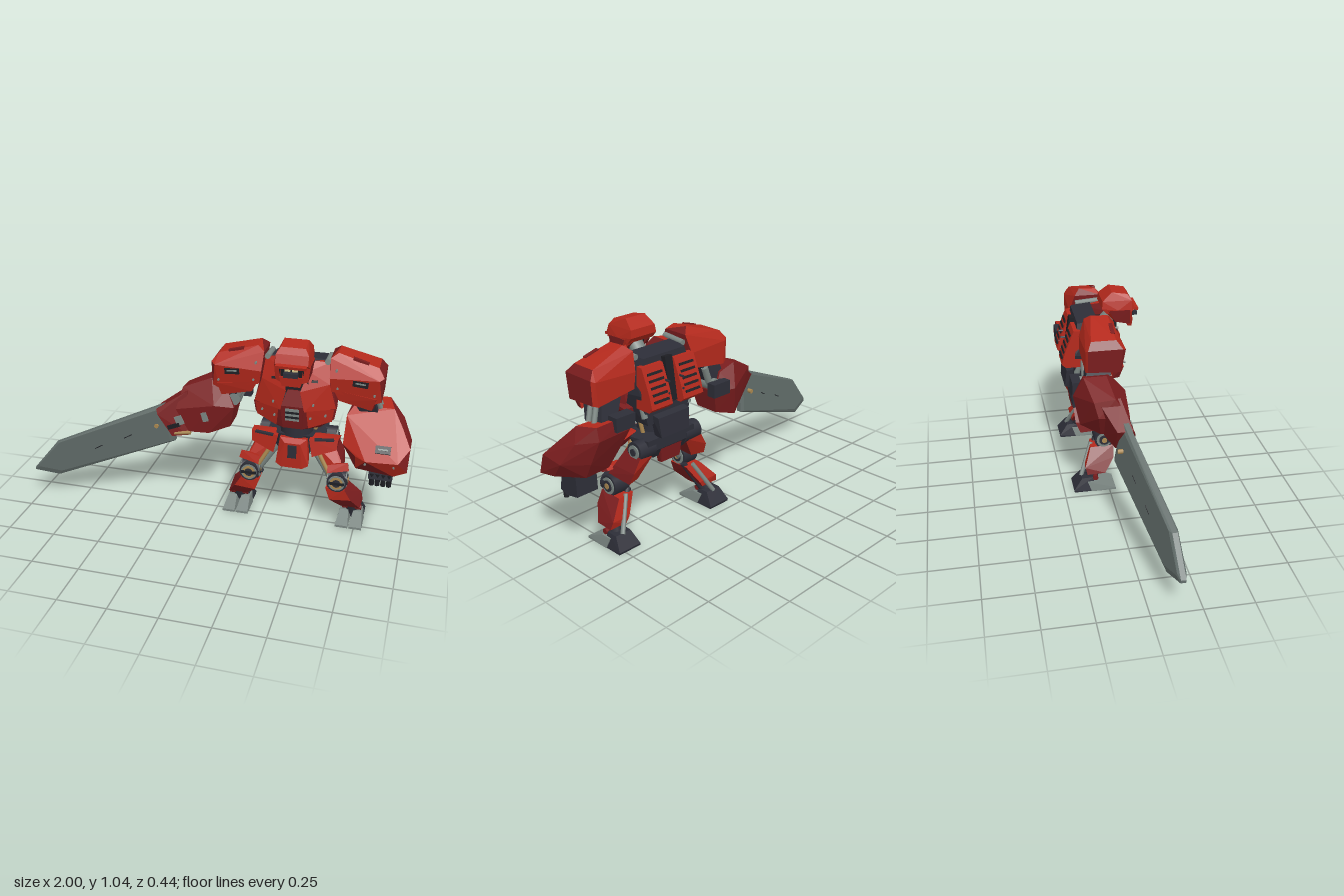
import * as THREE from 'three';
import { ConvexGeometry } from 'three/addons/geometries/ConvexGeometry.js';

const mat = (name, color) => Object.assign(new THREE.MeshStandardMaterial({ color }), { name });

export function createModel() {
  const red = mat('red armour', 0xb4291c), darkRed = mat('dark red armour', 0x7a1d1e);
  const dark = mat('dark frame', 0x2d2e38), black = mat('black detail', 0x1e1f24);
  const grey = mat('grey metal', 0x7b8682), steel = mat('blade steel', 0x626d6a);
  const gold = mat('gold metal', 0xa98750), glow = mat('eye yellow', 0xd8c48a);

  const root = new THREE.Group();
  root.name = 'giantRobot';
  const robot = new THREE.Group();
  robot.name = 'body';
  robot.position.x = 0.415;
  const swordArm = new THREE.Group();
  swordArm.name = 'rightSwordArm';
  const leftArm = new THREE.Group();
  leftArm.name = 'leftArm';
  root.add(robot, swordArm, leftArm);

  // faceted plate: the hull of a few corner points
  const hull = (parent, name, m, pts) => {
    const mesh = new THREE.Mesh(new ConvexGeometry(pts.map(p => new THREE.Vector3(...p))), m);
    mesh.name = name;
    parent.add(mesh);
    return mesh;
  };
  // two-tone plate: faces turned sideways, down or past the rear limit are dark red
  const armour = (parent, name, pts, rear = -2) => {
    const g = hull(parent, name, [red, darkRed], pts).geometry, n = g.attributes.normal;
    for (let i = 0; i < n.count; i += 3)
      g.addGroup(i, 3, Math.abs(n.getX(i)) > 0.6 || n.getY(i) < -0.5 || n.getZ(i) < rear ? 1 : 0);
  };
  const flip = (pts, s) => pts.map(([x, y, z]) => [x * s, y, z]);
  const sym = pts => [...pts, ...flip(pts, -1)];
  const box = (parent, name, m, size, pos, rot = [0, 0, 0]) => {
    const mesh = new THREE.Mesh(new THREE.BoxGeometry(...size), m);
    mesh.name = name;
    mesh.position.set(...pos);
    mesh.rotation.set(...rot);
    parent.add(mesh);
  };
  // cylinder between two points
  const rod = (parent, name, m, a, b, r, sides = 10) => {
    const A = new THREE.Vector3(...a), B = new THREE.Vector3(...b), d = B.clone().sub(A);
    const mesh = new THREE.Mesh(new THREE.CylinderGeometry(r, r, d.length(), sides), m);
    mesh.name = name;
    mesh.position.copy(A).add(B).multiplyScalar(0.5);
    mesh.quaternion.setFromUnitVectors(new THREE.Vector3(0, 1, 0), d.normalize());
    parent.add(mesh);
  };

  // head
  hull(robot, 'helmet', red, sym([[0.06, 1.045, 0.07], [0.06, 1.03, 0.155], [0.075, 1.0, 0.017], [0.08, 1.0, 0.175],
    [0.08, 0.955, 0.193], [0.08, 0.96, 0.013], [0.09, 0.95, 0.1], [0.08, 0.93, 0.04], [0.088, 0.94, 0.175]]));
  box(robot, 'visorBrim', red, [0.15, 0.014, 0.05], [0, 0.952, 0.187], [0.25, 0, 0]);
  hull(robot, 'face', black, sym([[0.06, 0.945, 0.19], [0.06, 0.86, 0.17], [0.06, 0.94, 0.06], [0.05, 0.88, 0.08]]));
  box(robot, 'muzzle', dark, [0.07, 0.022, 0.03], [0, 0.908, 0.199]);
  for (const s of [1, -1]) {
    box(robot, 'eye', glow, [0.028, 0.01, 0.008], [0.018 * s, 0.928, 0.193]);
    armour(robot, 'cheekGuard', flip([[0.055, 0.945, 0.187], [0.09, 0.95, 0.165], [0.09, 0.95, 0.05], [0.05, 0.94, 0.025],
      [0.05, 0.86, 0.18], [0.08, 0.865, 0.165], [0.085, 0.885, 0.085], [0.05, 0.885, 0.08]], s));
  }
  hull(robot, 'chinGuard', red, sym([[0.06, 0.89, 0.185], [0.045, 0.84, 0.182], [0.06, 0.89, 0.168], [0.045, 0.84, 0.16]]));
  rod(robot, 'neck', grey, [0, 0.93, 0.1], [0, 0.84, 0.02], 0.04);
  box(robot, 'collarWell', black, [0.14, 0.1, 0.1], [0, 0.82, 0.045]);

  // torso
  hull(robot, 'backFrame', dark, sym([[0.15, 0.92, -0.02], [0.13, 0.91, -0.13], [0.17, 0.74, -0.15], [0.13, 0.58, -0.15],
    [0.12, 0.57, 0.02], [0.17, 0.72, 0.03]]));
  box(robot, 'spineRidge', black, [0.045, 0.22, 0.04], [0, 0.79, -0.155], [0.15, 0, 0]);
  hull(robot, 'lowerBackPack', dark, sym([[0.1, 0.63, -0.13], [0.1, 0.62, -0.19], [0.09, 0.52, -0.2], [0.07, 0.5, -0.13]]));
  hull(robot, 'bellyArmour', darkRed, sym([[0.2, 0.63, 0.045], [0.13, 0.572, 0.03], [0.05, 0.575, 0.09], [0.06, 0.69, 0.118],
    [0.21, 0.69, 0.05], [0.2, 0.66, -0.07], [0.12, 0.58, -0.06]]));
  hull(robot, 'breastWedge', darkRed, sym([[0.03, 0.79, 0.105], [0.055, 0.71, 0.127], [0.05, 0.59, 0.1], [0.05, 0.6, 0.05], [0.03, 0.78, 0.05]]));
  for (let i = 0; i < 5; i++)
    box(robot, 'chestGrille', i % 2 ? black : grey, [0.07, 0.014, 0.012], [0, 0.69 - i * 0.014, 0.123 - i * 0.0035]);
  for (const s of [1, -1]) {
    armour(robot, 'chestPlate', flip([[0.065, 0.885, 0.075], [0.09, 0.93, 0.04], [0.16, 0.92, 0.02], [0.17, 0.82, 0.06],
      [0.208, 0.685, 0.05], [0.06, 0.685, 0.122], [0.035, 0.79, 0.12], [0.14, 0.9, -0.07], [0.2, 0.69, -0.08]], s));
    armour(robot, 'ribPlate', flip([[0.07, 0.69, 0.122], [0.2, 0.69, 0.06], [0.19, 0.62, 0.055], [0.08, 0.59, 0.1],
      [0.1, 0.64, 0.04], [0.19, 0.64, 0]], s));
    for (const [x, y, z] of [[0.1, 0.72, 0.1], [0.09, 0.65, 0.105], [0.16, 0.66, 0.075]])
      rod(robot, 'chestBolt', grey, [x * s, y, z - 0.02], [x * s, y, z + 0.012], 0.006, 6);
    box(robot, 'chestVent', black, [0.03, 0.012, 0.008], [0.1 * s, 0.84, 0.088], [-0.3, 0.2 * s, 0]);
    rod(robot, 'backPiston', grey, [0.155 * s, 0.89, -0.07], [0.14 * s, 0.62, -0.14], 0.016);
    rod(robot, 'collarPipe', grey, [0.15 * s, 0.925, 0.03], [0.15 * s, 0.915, -0.1], 0.015);
    rod(robot, 'waistPiston', gold, [0.11 * s, 0.6, -0.06], [0.09 * s, 0.49, -0.07], 0.01);

    // back vents with slots and bolts
    hull(robot, 'backVent', red, flip([0.035, 0.165].flatMap(x => [[x, 0.88, -0.12], [x, 0.88, -0.155], [x, 0.76, -0.203],
      [x, 0.69, -0.222], [x, 0.67, -0.2], [x, 0.67, -0.11]]), s));
    for (let i = 0; i < 5; i++)
      box(robot, 'ventSlot', black, [0.09, 0.012, 0.009], [0.1 * s, 0.845 - i * 0.031, -0.171 - i * 0.0115], [0.36, 0, 0]);
    for (const y of [0.8, 0.74]) rod(robot, 'ventBolt', dark, [0.045 * s, y, -0.18], [0.045 * s, y, -0.212], 0.006, 6);

    // shoulders
    armour(robot, 'shoulderArmour', flip([[0.2, 0.975, 0.02], [0.2, 0.98, -0.07], [0.165, 0.95, 0.04], [0.165, 0.95, -0.1],
      [0.4, 0.92, 0.03], [0.4, 0.92, -0.1], [0.43, 0.88, 0.06], [0.43, 0.88, -0.12], [0.17, 0.86, 0.08], [0.18, 0.86, -0.13],
      [0.41, 0.87, 0.078], [0.41, 0.87, -0.13], [0.18, 0.79, 0.07], [0.19, 0.78, -0.13], [0.39, 0.74, 0.06], [0.4, 0.75, -0.13],
      [0.425, 0.75, 0.05], [0.425, 0.76, -0.12]], s));
    armour(robot, 'shoulderLowerGuard', flip([[0.19, 0.8, 0.07], [0.4, 0.77, 0.07], [0.38, 0.7, 0.05], [0.22, 0.74, 0.06],
      [0.19, 0.8, 0.02], [0.4, 0.77, 0.02], [0.39, 0.7, 0.01], [0.22, 0.74, 0.02]], s));
    box(robot, 'shoulderVent', black, [0.075, 0.03, 0.008], [0.32 * s, 0.845, 0.077], [0, 0, -0.08 * s]);
    box(robot, 'shoulderVentSlat', grey, [0.05, 0.008, 0.008], [0.32 * s, 0.848, 0.079], [0, 0, -0.08 * s]);
    box(robot, 'shoulderTopSlot', darkRed, [0.08, 0.012, 0.02], [0.31 * s, 0.944, 0.022], [0, 0, -0.28 * s]);
    for (const [x, y] of [[0.2, 0.9], [0.39, 0.79], [0.21, 0.81]])
      rod(robot, 'shoulderBolt', grey, [x * s, y, 0.05], [x * s, y, 0.079], 0.006, 6);
  }

  // waist and hips
  rod(robot, 'waist', dark, [0, 0.6, -0.04], [0, 0.49, -0.04], 0.085, 12);
  hull(robot, 'hipFrame', dark, sym([[0.15, 0.51, -0.17], [0.15, 0.495, -0.02], [0.15, 0.45, -0.17], [0.1, 0.4, -0.14], [0.07, 0.39, 0],
    [0.08, 0.51, 0.03]]));
  hull(robot, 'frontSkirt', red, sym([[0.07, 0.5, 0.05], [0.085, 0.36, 0.07], [0.055, 0.342, 0.075], [0.04, 0.48, 0.075], [0.07, 0.5, 0.0],
    [0.08, 0.37, 0.02]]));
  box(robot, 'skirtSlot', dark, [0.045, 0.07, 0.009], [0, 0.435, 0.077]);
  hull(robot, 'rearSkirt', darkRed, sym([[0.07, 0.47, -0.17], [0.06, 0.37, -0.16], [0.07, 0.47, -0.13], [0.05, 0.36, -0.12]]));

  // legs
  for (const s of [1, -1]) {
    const leg = new THREE.Group();
    leg.name = s > 0 ? 'leftLeg' : 'rightLeg';
    robot.add(leg);
    const H = (n, m, p) => hull(leg, n, m, flip(p, s));
    const A = (n, p) => armour(leg, n, flip(p, s));
    const R = (n, m, a, b, r, k) => rod(leg, n, m, [a[0] * s, a[1], a[2]], [b[0] * s, b[1], b[2]], r, k);
    A('sideSkirt', [[0.08, 0.505, 0.05], [0.225, 0.505, 0.02], [0.22, 0.45, 0.03], [0.1, 0.41, 0.06], [0.085, 0.49, 0.02],
      [0.23, 0.495, -0.06], [0.09, 0.51, -0.03], [0.2, 0.45, -0.02]]);
    box(leg, 'skirtTrim', dark, [0.1, 0.009, 0.02], [0.155 * s, 0.502, 0.032], [0, 0.2 * s, 0]);
    R('hipJoint', dark, [0.1, 0.46, -0.125], [0.2, 0.46, -0.125], 0.05, 14);
    R('hipCap', grey, [0.18, 0.46, -0.125], [0.206, 0.46, -0.125], 0.035, 14);
    R('hipHub', dark, [0.18, 0.46, -0.125], [0.212, 0.46, -0.125], 0.018, 12);
    A('thighArmour', [[0.1, 0.44, -0.03], [0.19, 0.46, -0.06], [0.1, 0.44, -0.16], [0.19, 0.46, -0.17], [0.24, 0.37, -0.02],
      [0.24, 0.37, -0.165], [0.17, 0.32, 0.0], [0.255, 0.32, 0.01], [0.18, 0.31, -0.12], [0.25, 0.31, -0.14]]);
    R('thighPiston', gold, [0.1, 0.46, 0.0], [0.185, 0.31, 0.02], 0.011);
    R('thighStrut', grey, [0.085, 0.44, -0.03], [0.195, 0.27, -0.02], 0.022);
    A('kneeFlap', [[0.18, 0.36, 0.03], [0.28, 0.375, 0.01], [0.29, 0.335, 0.02], [0.18, 0.32, 0.045], [0.2, 0.35, -0.02], [0.28, 0.35, -0.02]]);
    R('kneeJoint', dark, [0.185, 0.267, -0.012], [0.275, 0.267, -0.012], 0.054, 16);
    R('kneeRing', grey, [0.18, 0.267, -0.012], [0.28, 0.267, -0.012], 0.043, 16);
    R('kneeDisc', dark, [0.178, 0.267, -0.012], [0.284, 0.267, -0.012], 0.029, 16);
    R('kneeHub', gold, [0.176, 0.267, -0.012], [0.288, 0.267, -0.012], 0.015, 12);
    R('kneeFrontRim', dark, [0.232, 0.267, 0.0], [0.232, 0.267, 0.042], 0.052, 16);
    R('kneeFrontRing', grey, [0.232, 0.267, 0.0], [0.232, 0.267, 0.045], 0.043, 16);
    R('kneeFrontGold', gold, [0.232, 0.267, 0.0], [0.232, 0.267, 0.048], 0.034, 16);
    R('kneeFrontHub', dark, [0.232, 0.267, 0.0], [0.232, 0.267, 0.051], 0.022, 12);
    box(leg, 'kneeBar', black, [0.08, 0.014, 0.008], [0.232 * s, 0.267, 0.05]);

    // shin and foot
    A('shinArmour', [[0.175, 0.225, 0.03], [0.275, 0.23, 0.04], [0.18, 0.225, -0.08], [0.275, 0.225, -0.09], [0.2, 0.16, 0.035],
      [0.31, 0.17, 0.035], [0.24, 0.13, -0.12], [0.35, 0.14, -0.13], [0.255, 0.1, -0.02], [0.355, 0.1, -0.02], [0.26, 0.1, -0.12], [0.36, 0.1, -0.12]]);
    R('shinPiston', grey, [0.225, 0.23, -0.08], [0.31, 0.07, -0.15], 0.012);
    R('calfStrut', dark, [0.185, 0.24, -0.05], [0.28, 0.07, -0.1], 0.016);
    R('ankle', dark, [0.305, 0.13, -0.07], [0.31, 0.04, -0.1], 0.035);
    R('ankleBolt', darkRed, [0.26, 0.075, -0.075], [0.36, 0.075, -0.075], 0.015);
    for (const [a, b] of [[0.238, 0.304], [0.31, 0.376]])
      H('toe', grey, [[a, 0, 0.035], [b, 0, 0.035], [a, 0.012, 0.035], [b, 0.012, 0.035], [a + 0.01, 0.056, -0.06], [b - 0.01, 0.056, -0.06],
        [a + 0.01, 0.056, -0.12], [b - 0.01, 0.056, -0.12], [a, 0, -0.1], [b, 0, -0.1]]);
    H('heel', dark, [0.242, 0.372].flatMap(x => [[x, 0, -0.09], [x, 0, -0.195], [x, 0.012, -0.198],
      [x + (0.307 - x) * 0.3, 0.075, -0.15], [x + (0.307 - x) * 0.3, 0.078, -0.085]]));
  }

  // left arm
  hull(leftArm, 'upperArm', dark, [[0.66, 0.8, 0.03], [0.66, 0.8, -0.11], [0.78, 0.8, 0.03], [0.78, 0.8, -0.11],
    [0.73, 0.66, -0.02], [0.73, 0.66, -0.15], [0.82, 0.66, -0.03], [0.82, 0.66, -0.15]]);
  for (const z of [-0.05, -0.09]) rod(leftArm, 'armPiston', grey, [0.79, 0.78, z], [0.83, 0.67, z - 0.02], 0.013);
  rod(leftArm, 'armStrut', gold, [0.66, 0.77, -0.06], [0.72, 0.66, -0.1], 0.013);
  box(leftArm, 'elbowGuard', dark, [0.11, 0.07, 0.06], [0.72, 0.67, -0.172]);
  armour(leftArm, 'forearmArmour', [[0.7, 0.67, -0.07], [0.9, 0.67, -0.07], [0.7, 0.685, -0.17], [0.87, 0.685, -0.18], [0.67, 0.63, -0.02],
    [0.68, 0.62, -0.18], [0.95, 0.6, -0.01], [0.95, 0.61, -0.12], [0.87, 0.62, -0.195], [1, 0.52, 0.06], [1, 0.51, -0.07], [0.89, 0.5, -0.15],
    [0.995, 0.41, 0.1], [0.985, 0.425, 0], [0.93, 0.372, 0.085], [0.74, 0.385, 0.07], [0.735, 0.465, 0.095], [0.79, 0.455, 0.125],
    [0.95, 0.465, 0.13], [0.89, 0.42, -0.11], [0.75, 0.42, -0.1], [0.667, 0.5, 0.05], [0.667, 0.51, -0.1]], -0.6);
  box(leftArm, 'forearmVent', black, [0.075, 0.04, 0.009], [0.87, 0.515, 0.091], [-0.72, 0, 0]);
  box(leftArm, 'forearmVentSlat', grey, [0.05, 0.008, 0.009], [0.87, 0.517, 0.094], [-0.72, 0, 0]);
  for (const x of [0.79, 0.93]) rod(leftArm, 'forearmBolt', grey, [x, 0.44, 0.1], [x, 0.44, 0.125], 0.006, 6);
  hull(leftArm, 'fist', dark, [0.805, 0.925].flatMap(x => [[x, 0.42, 0.03], [x, 0.42, -0.075], [x, 0.32, 0.045], [x, 0.32, -0.08], [x, 0.305, 0.0]]));
  for (let i = 0; i < 4; i++) rod(leftArm, 'finger', black, [0.823 + i * 0.029, 0.35, 0.033], [0.823 + i * 0.029, 0.28, 0.025], 0.013, 8);

  // right arm
  hull(swordArm, 'upperArm', dark, [[0.17, 0.8, 0.03], [0.17, 0.8, -0.11], [0.05, 0.8, 0.03], [0.05, 0.8, -0.11],
    [0.09, 0.62, -0.01], [0.09, 0.62, -0.14], [0.0, 0.66, -0.02], [0.0, 0.66, -0.14]]);
  rod(swordArm, 'armPiston', grey, [0.14, 0.76, 0.0], [0.09, 0.63, -0.01], 0.016);
  rod(swordArm, 'armPiston', grey, [0.14, 0.76, -0.12], [0.08, 0.6, -0.12], 0.018);
  rod(swordArm, 'elbow', grey, [0.09, 0.66, -0.15], [0.09, 0.66, 0.01], 0.032, 12);
  box(swordArm, 'elbowGuard', dark, [0.11, 0.07, 0.05], [0.09, 0.65, -0.172]);
  hull(swordArm, 'forearmArmour', darkRed, [[0.05, 0.715, 0], [0.05, 0.715, -0.14], [0.095, 0.62, 0.03], [0.095, 0.62, -0.15], [0.07, 0.5, 0],
    [0.07, 0.5, -0.13], [-0.04, 0.75, -0.03], [-0.04, 0.75, -0.15], [0, 0.64, 0.075], [0, 0.63, -0.2], [-0.03, 0.475, 0.06], [-0.03, 0.475, -0.17],
    [-0.19, 0.69, -0.01], [-0.19, 0.68, -0.12], [-0.21, 0.59, 0.06], [-0.21, 0.6, -0.1], [-0.14, 0.47, 0.06], [-0.14, 0.47, -0.08]]);
  hull(swordArm, 'handGuard', darkRed, [[-0.16, 0.68, 0.02], [-0.16, 0.68, -0.1], [-0.32, 0.575, 0.055], [-0.32, 0.575, -0.025], [-0.31, 0.55, 0.068],
    [-0.23, 0.435, 0.07], [-0.23, 0.435, -0.02], [-0.14, 0.45, 0.06], [-0.14, 0.46, -0.06]]);
  box(swordArm, 'guardPlate', grey, [0.04, 0.05, 0.009], [-0.19, 0.53, 0.067], [0, 0.1, 0.4]);
  box(swordArm, 'guardSlot', black, [0.07, 0.022, 0.009], [-0.22, 0.495, 0.07], [0, 0, 0.4]);
  box(swordArm, 'forearmVent', grey, [0.03, 0.05, 0.009], [-0.05, 0.57, 0.072], [0, -0.05, 0.3]);
  rod(swordArm, 'guardPiston', gold, [-0.22, 0.45, 0.06], [-0.13, 0.465, 0.06], 0.01);
  rod(swordArm, 'hiltBolt', gold, [-0.325, 0.47, -0.025], [-0.325, 0.47, 0.05], 0.012);

  // sword: thin rim around a thicker core, leaning forward to the tip and the upper edge
  const rim = [[-1, 0.185], [-0.865, 0.35], [-0.26, 0.61], [-0.235, 0.375], [-0.875, 0.14], [-1, 0.17]];
  const at = (x, y, t) => [x, y, 0.148 - (x + 1) * 0.19 + (y - 0.18 - 0.42 * (x + 1)) * 0.12 + t];
  const core = rim.map(([x, y]) => [-0.6 + (x + 0.6) * 0.93, 0.37 + (y - 0.37) * 0.88]);
  hull(swordArm, 'swordBlade', steel, [-1, 1].flatMap(k => [...rim.map(([x, y]) => at(x, y, 0.013 * k)), ...core.map(([x, y]) => at(x, y, 0.022 * k))]));
  for (const [x, y] of [[-0.64, 0.33], [-0.48, 0.4]]) for (const k of [-1, 1])
    box(swordArm, 'bladeNotch', black, [0.05, 0.004, 0.004], at(x, y, 0.022 * k), [0, 0.19, 0.5]);

  return root;
}
